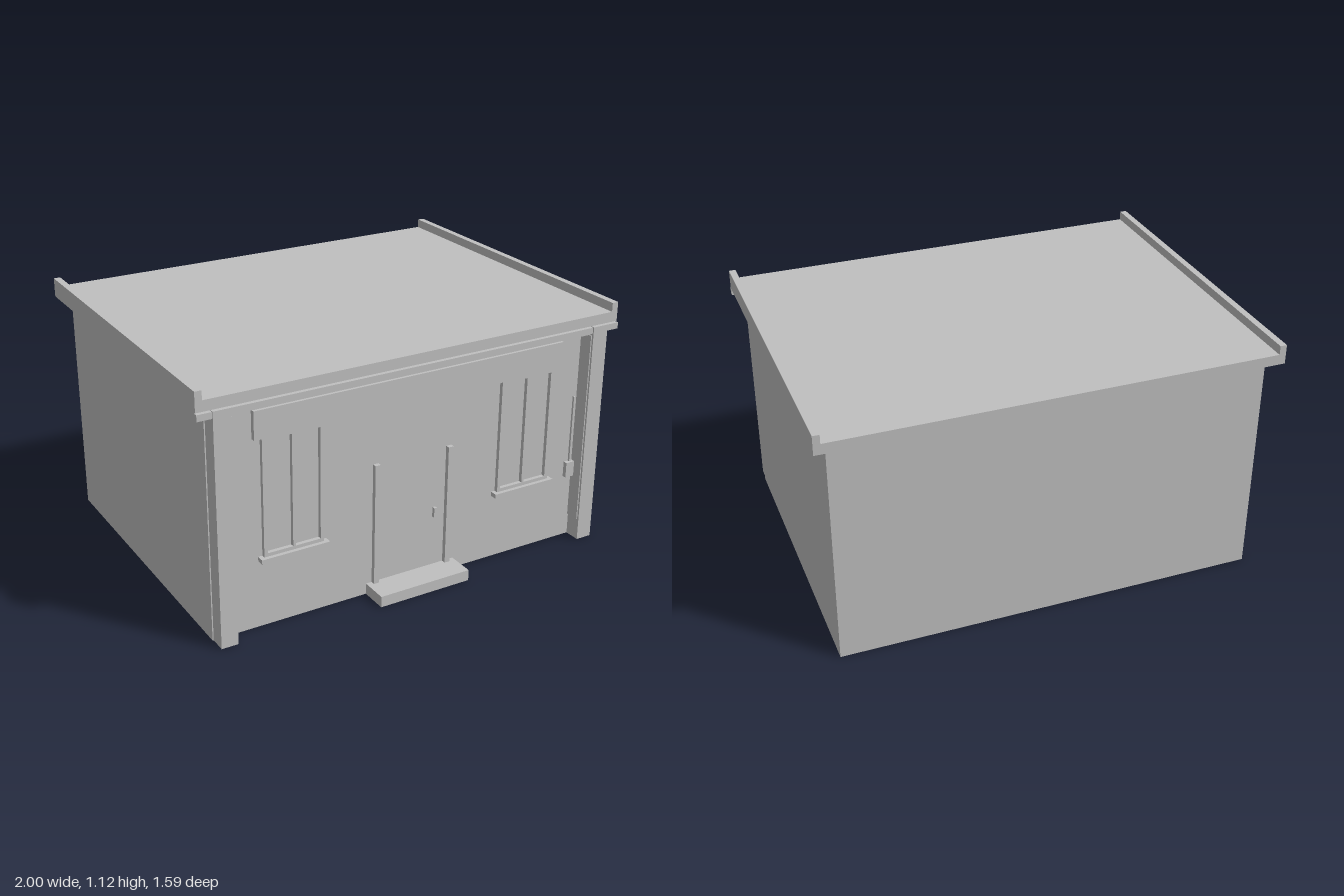
import * as THREE from 'three';

export function createModel() {
  const house = new THREE.Group();
  house.name = 'house';
  const grey = new THREE.MeshStandardMaterial({ color: 0xc0c0c0 });
  grey.name = 'plain grey';

  // Box given by its lower and upper limits on each axis
  function box(name, x0, x1, y0, y1, z0, z1, parent = house) {
    const mesh = new THREE.Mesh(new THREE.BoxGeometry(x1 - x0, y1 - y0, z1 - z0), grey);
    mesh.position.set((x0 + x1) / 2, (y0 + y1) / 2, (z0 + z1) / 2);
    mesh.name = name;
    parent.add(mesh);
  }

  const wall = 0.67; // front wall plane

  // Main block
  box('walls', -0.942, 0.942, 0, 1.035, -0.742, wall);

  // Flat roof with raised side edges: one profile extruded front to back
  const profile = new THREE.Shape([
    [-1, 1.032], [1, 1.032], [1, 1.118], [0.97, 1.118],
    [0.97, 1.078], [-0.97, 1.078], [-0.97, 1.118], [-1, 1.118],
  ].map(([x, y]) => new THREE.Vector2(x, y)));
  const roof = new THREE.Mesh(
    new THREE.ExtrudeGeometry(profile, { depth: 1.525, bevelEnabled: false }), grey);
  roof.position.z = -0.797;
  roof.name = 'roof';
  house.add(roof);

  // Beam and gutter under the front eave
  box('eaveBeam', -0.937, 0.937, 0.99, 1.032, wall, 0.72);
  box('gutter', -1, 1, 1.0, 1.028, 0.718, 0.738);

  // Corner pilasters with a thin bead on the inner side
  for (const s of [-1, 1]) {
    const x = (a, b) => (s > 0 ? [a, b] : [-b, -a]);
    box('pilaster', ...x(0.862, 0.937), 0, 1.031, wall, 0.744);
    box('pilasterBead', ...x(0.857, 0.862), 0.1, 0.99, wall, 0.735);
  }

  // Sign board over the windows
  box('signBoard', -0.745, 0.745, 0.847, 0.97, wall, 0.692);

  // Two double windows
  for (const cx of [-0.573, 0.57]) {
    const win = new THREE.Group();
    win.name = 'window';
    house.add(win);
    const front = wall + 0.018;
    box('frameLeft', cx - 0.137, cx - 0.121, 0.325, 0.847, wall, front, win);
    box('frameRight', cx + 0.121, cx + 0.137, 0.325, 0.847, wall, front, win);
    box('mullion', cx - 0.006, cx + 0.006, 0.325, 0.847, wall, front, win);
    box('frameBottom', cx - 0.121, cx + 0.121, 0.325, 0.34, wall, front, win);
    box('frameTop', cx - 0.121, cx + 0.121, 0.838, 0.847, wall, front, win);
    box('sill', cx - 0.156, cx + 0.156, 0.305, 0.325, wall, 0.705, win);
  }

  // Doorway
  box('doorStep', -0.223, 0.22, 0, 0.05, wall, 0.795);
  box('doorPostRight', -0.195, -0.17, 0.05, 0.605, wall, 0.69);
  box('doorPostLeft', 0.166, 0.191, 0.05, 0.605, wall, 0.69);
  box('doorHandle', 0.106, 0.119, 0.285, 0.33, wall, 0.685);

  // Meter box and its conduit beside the pilaster
  box('meterBox', 0.813, 0.862, 0.303, 0.375, wall, 0.69);
  box('conduit', 0.836, 0.844, 0.375, 0.69, wall, 0.68);

  return house;
}
